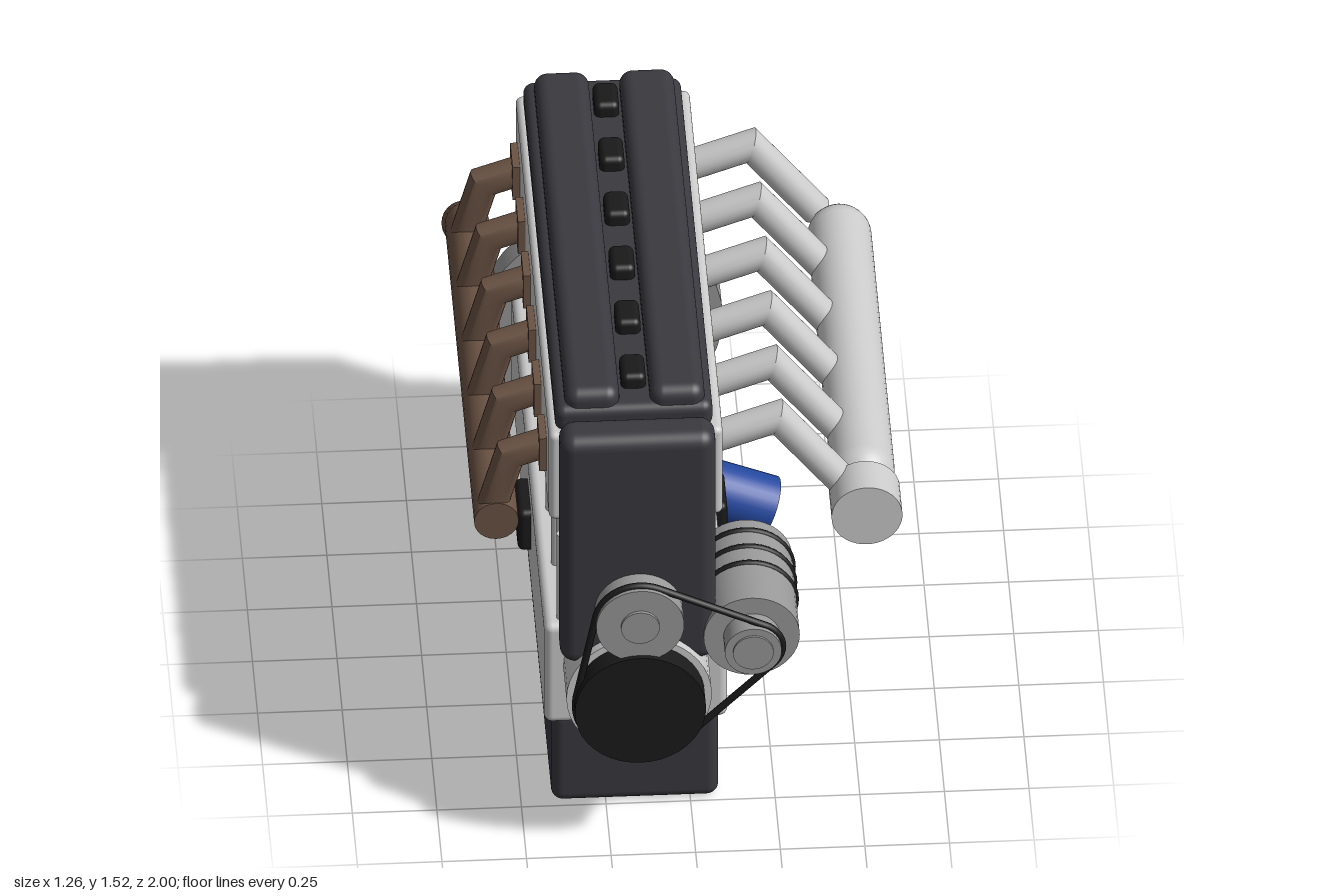
import * as THREE from 'three';
import { RoundedBoxGeometry } from 'three/addons/geometries/RoundedBoxGeometry.js';
import { toCreasedNormals } from 'three/addons/utils/BufferGeometryUtils.js';

const mat = (color) => new THREE.MeshStandardMaterial({ color });
const alloy = mat(0xcccccc), steel = mat(0x999999), dark = mat(0x3a393f);
const black = mat(0x1a1a1a), brown = mat(0x6b5344), blue = mat(0x2549a0);

const CX = -0.163; // engine centre line
const CRANK_Y = 0.535;
const cylinderZ = (i) => -0.055 + (i - 2.5) * 0.263;

export function createModel() {
  const root = new THREE.Group();
  root.name = 'engine';

  function add(name, geometry, material, x = 0, y = 0, z = 0, parent = root) {
    const mesh = new THREE.Mesh(geometry, material);
    mesh.name = name;
    mesh.position.set(x, y, z);
    parent.add(mesh);
    return mesh;
  }

  // Rounded box given by its limits
  function box(name, material, [x0, x1], [y0, y1], [z0, z1], radius) {
    const geometry = new RoundedBoxGeometry(x1 - x0, y1 - y0, z1 - z0, 4, radius);
    return add(name, geometry, material, (x0 + x1) / 2, (y0 + y1) / 2, (z0 + z1) / 2);
  }

  // Disc or drum lying along z
  function drum(name, material, radius, x, y, z0, z1) {
    const geometry = new THREE.CylinderGeometry(radius, radius, z1 - z0, 40);
    geometry.rotateX(Math.PI / 2);
    return add(name, geometry, material, x, y, (z0 + z1) / 2);
  }

  // Mitred pipe along a path of [x, y] points
  function pipeGeometry(points, radius) {
    const path = points.map((p) => new THREE.Vector2(...p));
    const last = path.length - 1;
    const rings = path.map((p, i) => {
      const before = p.clone().sub(path[Math.max(i - 1, 0)]).normalize();
      const after = path[Math.min(i + 1, last)].clone().sub(p).normalize();
      const t = before.clone().add(after).normalize();
      const stretch = 1 / t.dot(i < last ? after : before);
      return { p, nx: t.y * stretch, ny: -t.x * stretch };
    });
    const geometry = new THREE.CylinderGeometry(radius, radius, 1, 24, last);
    const pos = geometry.attributes.position;
    for (let i = 0; i < pos.count; i++) {
      const { p, nx, ny } = rings[Math.round((pos.getY(i) + 0.5) * last)];
      const side = pos.getX(i);
      pos.setXY(i, p.x + nx * side, p.y + ny * side);
    }
    return toCreasedNormals(geometry, 0.6);
  }

  // Main castings
  box('oilPan', dark, [-0.41, 0.084], [0, 0.335], [-0.84, 0.74], 0.035);
  box('crankcase', alloy, [-0.434, 0.108], [0.325, 0.69], [-0.877, 0.778], 0.025);
  box('cylinderBlock', alloy, [-0.38, 0.054], [0.65, 1.1], [-0.86, 0.768], 0.02);
  box('cylinderHead', alloy, [-0.42, 0.094], [1.08, 1.4], [-0.877, 0.778], 0.02);
  box('timingCover', dark, [-0.393, 0.067], [0.63, 1.465], [0.77, 0.9], 0.045);

  // Ribs on both flanks of the block
  for (let k = -3; k <= 3; k++) {
    for (const side of [-1, 1]) {
      const rib = new THREE.CylinderGeometry(0.016, 0.016, 0.33, 12);
      add('blockRib', rib, alloy, CX + side * 0.217, 0.835, -0.055 + k * 0.263);
    }
  }

  // Valve cover with twin cam humps, ignition coils and filler cap
  box('valveCover', dark, [-0.4, 0.066], [1.385, 1.475], [-0.85, 0.755], 0.03);
  for (const side of [-1, 1]) {
    const x = CX + side * 0.126;
    box('camHump', dark, [x - 0.081, x + 0.081], [1.43, 1.525], [-0.835, 0.743], 0.04);
  }
  for (let i = 0; i < 6; i++) {
    const z = cylinderZ(i);
    box('ignitionCoil', black, [CX - 0.037, CX + 0.037], [1.45, 1.52], [z - 0.06, z + 0.06], 0.02);
  }
  add('fillerCap', new THREE.CylinderGeometry(0.05, 0.05, 0.06, 24), black, -0.037, 1.484, 0.41);

  // Flywheel, crank pulley and front drive
  drum('flywheel', steel, 0.357, CX, CRANK_Y, -0.965, -0.885);
  drum('frontCover', alloy, 0.215, CX, CRANK_Y, 0.76, 0.93);
  drum('crankPulley', black, 0.194, CX, CRANK_Y, 0.92, 1.0);
  drum('waterPumpPulley', steel, 0.13, CX, 0.837, 0.88, 0.985);
  drum('waterPumpHub', steel, 0.057, CX, 0.837, 0.98, 0.995);

  // Alternator with cooling bands
  const ax = 0.171, ay = 0.727;
  drum('alternatorBody', steel, 0.142, ax, ay, 0.53, 0.91);
  drum('alternatorPulley', steel, 0.084, ax, ay, 0.9, 0.985);
  drum('alternatorHub', steel, 0.06, ax, ay, 0.98, 0.992);
  for (const z of [0.58, 0.658, 0.737]) {
    add('alternatorBand', new THREE.TorusGeometry(0.14, 0.01, 8, 40), black, ax, ay, z);
  }

  // Belt: outer hull of the three pulleys
  const pulleys = [[CX, CRANK_Y, 0.19], [CX, 0.837, 0.132], [ax, ay, 0.088]];
  const beltPoints = [];
  for (let i = 0; i < 72; i++) {
    const a = (i / 72) * Math.PI * 2, c = Math.cos(a), s = Math.sin(a);
    const reach = ([x, y, r]) => x * c + y * s + r;
    const [x, y, r] = pulleys.reduce((m, p) => (reach(p) > reach(m) ? p : m));
    beltPoints.push(new THREE.Vector3(x + r * c, y + r * s, 0));
  }
  const beltCurve = new THREE.CatmullRomCurve3(beltPoints, true, 'catmullrom', 0);
  add('driveBelt', new THREE.TubeGeometry(beltCurve, 160, 0.011, 8, true), black, 0, 0, 0.962);

  // Engine mounts
  box('leftMount', black, [0.06, 0.147], [0.465, 0.612], [-0.055, 0.125], 0.02);
  box('rightMount', black, [-0.473, -0.386], [0.465, 0.612], [-0.055, 0.125], 0.02);

  // Oil filter, angled down from the left flank
  const filter = new THREE.Group();
  filter.name = 'oilFilter';
  filter.position.set(0.286, 0.41, -0.131);
  filter.rotation.z = -Math.PI / 2 - 0.385;
  root.add(filter);
  add('filterCan', new THREE.CylinderGeometry(0.09, 0.09, 0.22, 32), blue, 0, -0.11, 0, filter);
  add('filterEnd', new THREE.CylinderGeometry(0.07, 0.07, 0.02, 32), steel, 0, -0.005, 0, filter);

  // Dipstick handle
  const handle = add('dipstickHandle', new THREE.TorusGeometry(0.022, 0.007, 8, 20), blue, 0.07, 0.985, 0.13);
  handle.rotation.y = Math.PI / 4;

  // Intake manifold
  const runner = pipeGeometry([[0.085, 1.24], [0.265, 1.305], [0.46, 1.055]], 0.047);
  for (let i = 0; i < 6; i++) add('intakeRunner', runner, alloy, 0, 0, cylinderZ(i));
  const plenum = new THREE.CapsuleGeometry(0.095, 1.135, 10, 32);
  plenum.rotateX(Math.PI / 2);
  add('intakePlenum', plenum, alloy, 0.522, 1.03, -0.048);
  drum('throttleBody', alloy, 0.105, 0.522, 1.028, 0.61, 0.74);

  // Exhaust manifold
  const branch = pipeGeometry([[-0.41, 1.245], [-0.525, 1.205], [-0.585, 0.99]], 0.046);
  for (let i = 0; i < 6; i++) {
    const z = cylinderZ(i);
    add('exhaustBranch', branch, brown, 0, 0, z);
    add('exhaustFlange', new THREE.BoxGeometry(0.03, 0.12, 0.12), brown, -0.427, 1.24, z);
  }
  const log = pipeGeometry([[-0.65, 0.99], [0.79, 0.99], [0.957, 0.866]], 0.066);
  log.rotateY(Math.PI / 2);
  add('exhaustLog', log, brown, -0.568, 0, 0);

  return root;
}
